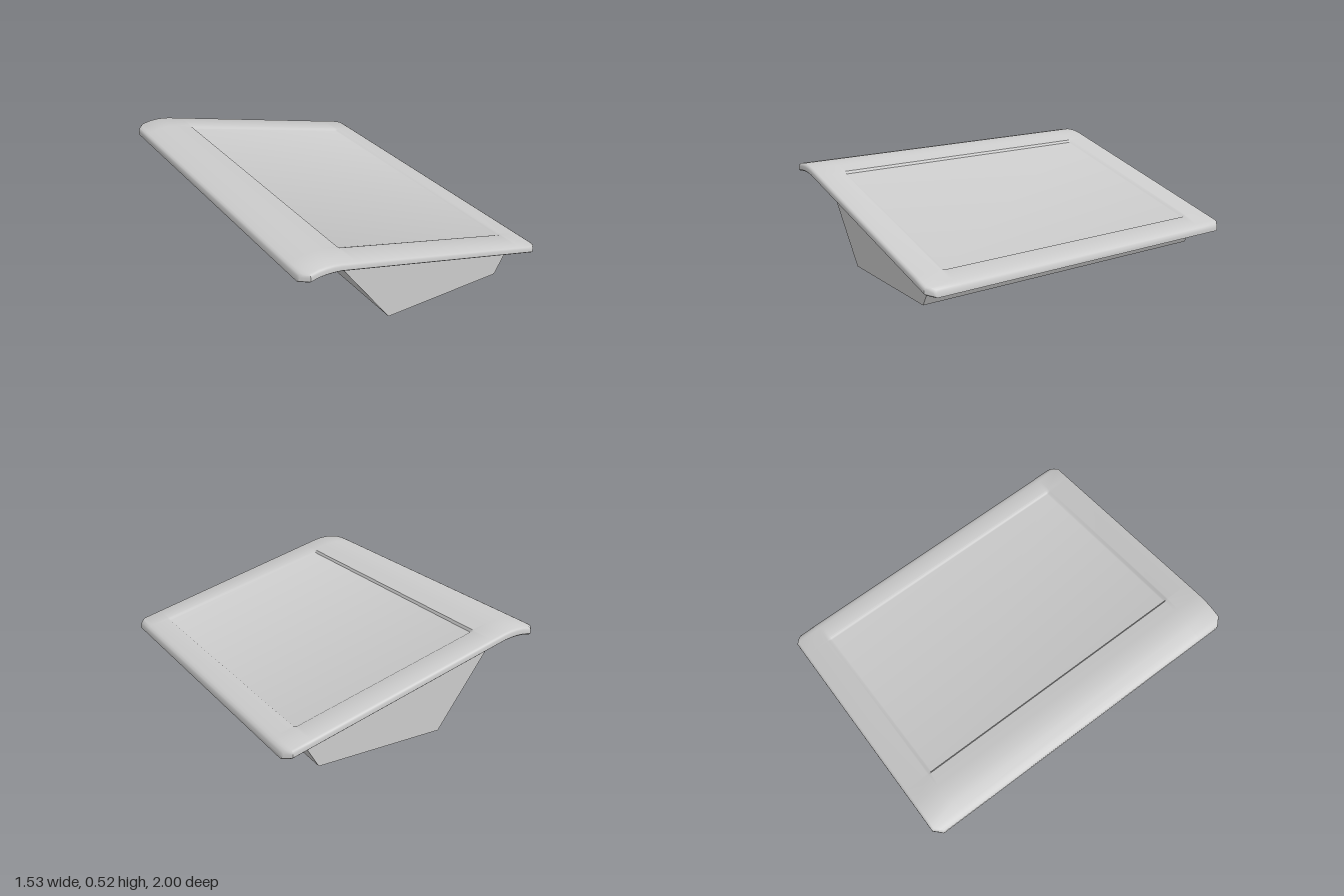
import * as THREE from 'three';
import { toCreasedNormals } from 'three/addons/utils/BufferGeometryUtils.js';

const material = new THREE.MeshStandardMaterial({ color: 0xcccccc });

// Lofts equal-length loops of [x, y, z] points along x and closes both ends.
function loft(loops) {
  const n = loops[0].length;
  const index = [];
  for (let i = 0; i < loops.length - 1; i++) {
    for (let j = 0; j < n; j++) {
      const a = i * n + j, b = i * n + (j + 1) % n;
      index.push(a, a + n, b, b, a + n, b + n);
    }
  }
  const last = (loops.length - 1) * n;
  for (let k = 1; k < n - 1; k++) {
    index.push(0, k, k + 1, last, last + k + 1, last + k);
  }
  const geometry = new THREE.BufferGeometry();
  geometry.setAttribute('position', new THREE.Float32BufferAttribute(loops.flat(2), 3));
  geometry.setIndex(index);
  return toCreasedNormals(geometry, 0.7);
}

// Sloping top: straight panel with a rolled-over high edge and a shallow recess
function createPanel() {
  const topLine = (x) => 0.361 - 0.263 * x;
  const bottomLine = (x) => 0.318 - 0.263 * x;
  const straight = (x, recess, half = 1) => [x, topLine(x), bottomLine(x), half, recess];
  const depth = 0.013;

  // x, top, bottom, half width, recess depth
  const stations = [
    [-0.763, 0.485, 0.455, 0.957, 0],
    [-0.757, 0.496, 0.456, 0.963, 0],
    [-0.745, 0.501, 0.458, 0.975, 0],
    [-0.72, 0.506, 0.462, 1, 0],
    [-0.67, 0.515, 0.47, 1, 0],
    [-0.63, 0.516, 0.471, 1, 0],
    [-0.59, 0.513, 0.468, 1, 0],
    straight(-0.55, 0),
    straight(-0.465, 0),
    straight(-0.457, depth),
    straight(0.607, depth),
    straight(0.615, depth * 0.75),
    straight(0.622, depth * 0.25),
    straight(0.63, 0),
    straight(0.722, 0),
    straight(0.742, 0, 0.982),
    [0.755, 0.157, 0.12, 0.969, 0],
    [0.762, 0.146, 0.118, 0.962, 0],
  ];

  const loops = stations.map(([x, top, bottom, h, recess]) => {
    const side = [
      [h - 0.008, bottom], [h, bottom + 0.007],
      [h, top - 0.016], [h - 0.004, top - 0.006], [h - 0.014, top],
      [0.845, top], [0.837, top - recess * 0.25],
      [0.826, top - recess * 0.75], [0.818, top - recess],
    ];
    const mirrored = side.map(([z, y]) => [-z, y]).reverse();
    return [...side, ...mirrored].map(([z, y]) => [x, y, z]);
  });
  return new THREE.Mesh(loft(loops), material);
}

// Solid wedge base with slanted ends
function createBase() {
  const shape = new THREE.Shape([
    [-0.19, 0], [0.54, 0], [0.625, 0.145], [-0.525, 0.458],
  ].map(([x, y]) => new THREE.Vector2(x, y)));
  const geometry = new THREE.ExtrudeGeometry(shape, { depth: 1.835, bevelEnabled: false });
  geometry.translate(0, 0, -0.93);
  return new THREE.Mesh(geometry, material);
}

export function createModel() {
  const model = new THREE.Group();
  model.name = 'slopedPanelStand';
  const panel = createPanel();
  panel.name = 'panel';
  const base = createBase();
  base.name = 'base';
  model.add(panel, base);
  return model;
}
